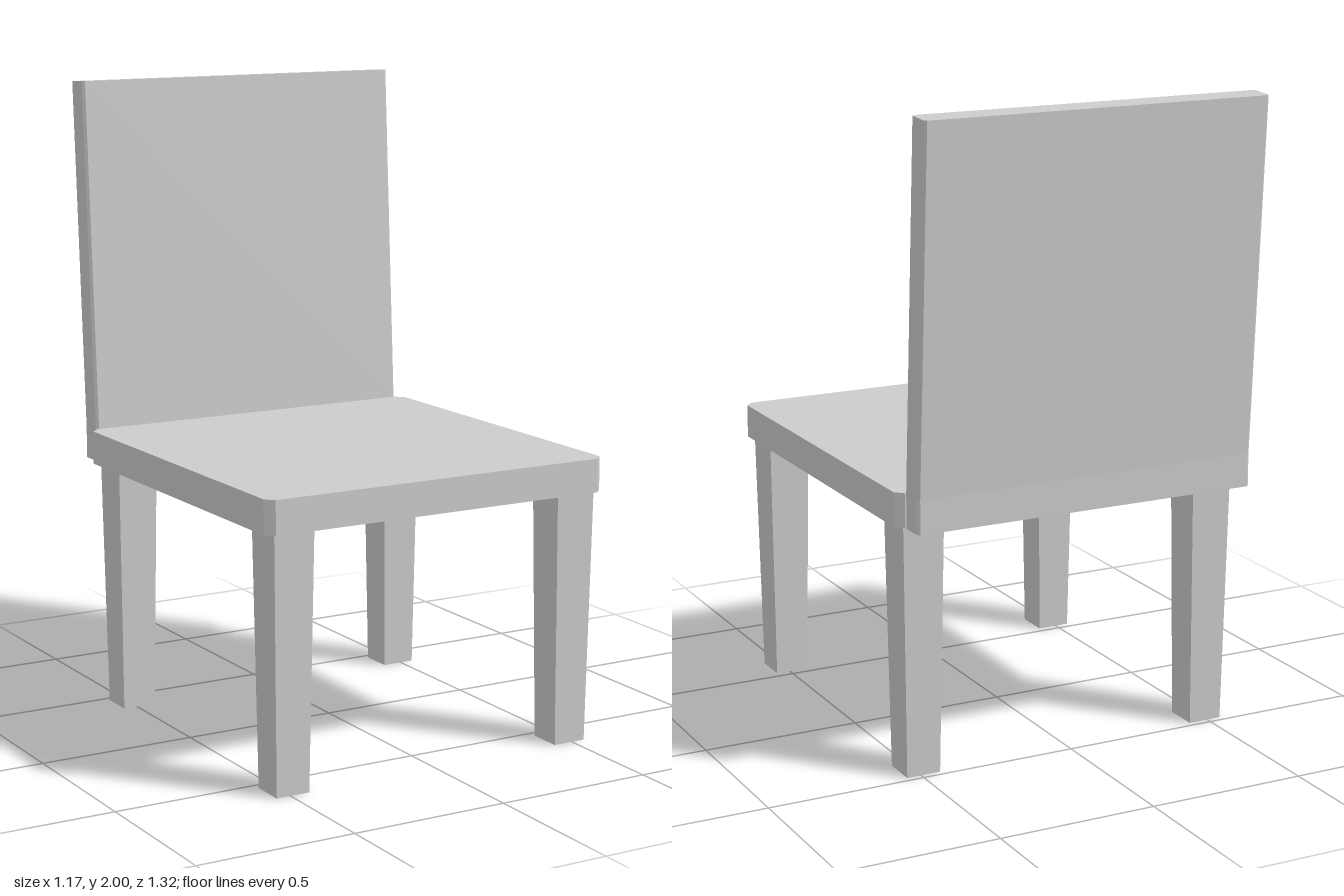
import * as THREE from 'three';

const material = new THREE.MeshStandardMaterial({ color: 0xcccccc, flatShading: true });

// Upright slab whose plan is a rectangle with cut corners
function chamferedSlab(halfWidth, zBack, zFront, cut, y0, y1, steps = 1) {
  const w = halfWidth, a = -zFront, b = -zBack, c = cut;
  const plan = new THREE.Shape([
    [-w + c, a], [w - c, a], [w, a + c], [w, b - c],
    [w - c, b], [-w + c, b], [-w, b - c], [-w, a + c],
  ].map(([x, y]) => new THREE.Vector2(x, y)));
  const geometry = new THREE.ExtrudeGeometry(plan, { depth: y1 - y0, steps, bevelEnabled: false });
  return geometry.rotateX(-Math.PI / 2).translate(0, y0, 0);
}

function part(name, geometry) {
  const mesh = new THREE.Mesh(geometry, material);
  mesh.name = name;
  return mesh;
}

// Upright foot of the back beside the seat, then a panel leaning backwards
function backrestGeometry() {
  const bottom = 0.79, bend = 0.895, top = 2, lean = 0.062;
  const geometry = chamferedSlab(0.56, -0.598, -0.513, 0.008, 0, 2, 2);
  const p = geometry.attributes.position;
  for (let i = 0; i < p.count; i++) {
    const level = Math.round(p.getY(i));
    const z = p.getZ(i);
    if (level === 2) {
      // the top edge tips down slightly towards the rear
      p.setY(i, top + (z + 0.513) * 0.056);
      p.setZ(i, z - lean);
    } else {
      p.setY(i, level === 1 ? bend : bottom);
    }
  }
  geometry.computeVertexNormals();
  return geometry;
}

// Square leg narrowing towards the floor
function legGeometry() {
  const height = 0.79, topWidth = 0.132, footWidth = 0.109;
  const geometry = new THREE.BoxGeometry(topWidth, height, topWidth).translate(0, height / 2, 0);
  const p = geometry.attributes.position;
  const taper = footWidth / topWidth;
  for (let i = 0; i < p.count; i++) {
    if (p.getY(i) < height / 2) {
      p.setX(i, p.getX(i) * taper);
      p.setZ(i, p.getZ(i) * taper);
    }
  }
  geometry.computeVertexNormals();
  return geometry;
}

export function createModel() {
  const chair = new THREE.Group();
  chair.name = 'chair';

  chair.add(part('seat', chamferedSlab(0.585, -0.513, 0.661, 0.025, 0.79, 0.895)));
  chair.add(part('backrest', backrestGeometry()));

  // Four legs
  const leg = legGeometry();
  for (const [side, x] of [['Left', 0.491], ['Right', -0.491]]) {
    for (const [end, z] of [['front', 0.58], ['back', -0.426]]) {
      const mesh = part(`${end}${side}Leg`, leg);
      mesh.position.set(x, 0, z);
      chair.add(mesh);
    }
  }
  return chair;
}
